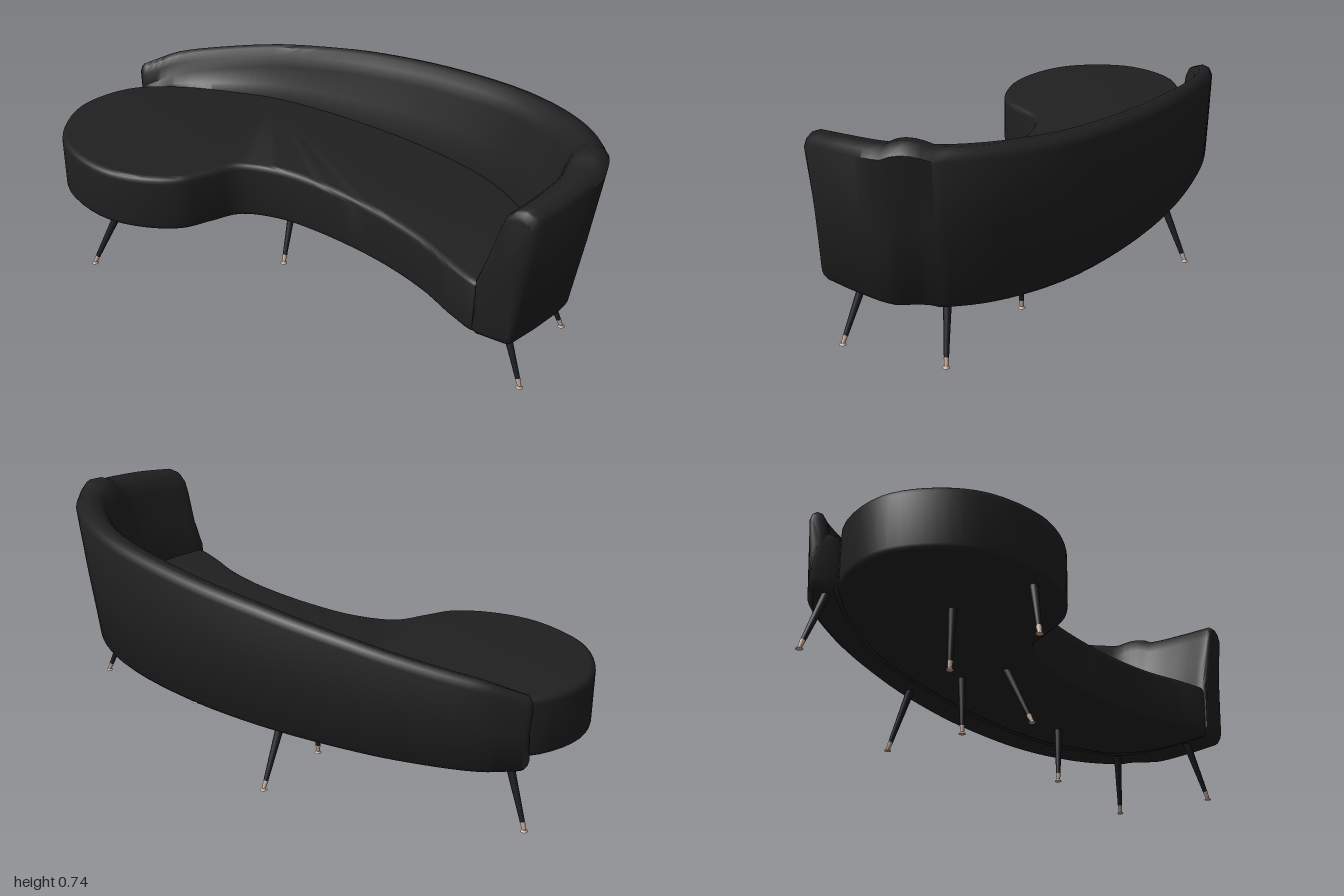
import * as THREE from 'three';
import { toCreasedNormals } from 'three/addons/utils/BufferGeometryUtils.js';

const fabric = new THREE.MeshStandardMaterial({ color: 0x202020 });
fabric.name = 'black fabric';
const legPaint = new THREE.MeshStandardMaterial({ color: 0x1b1c1f });
legPaint.name = 'black leg';
const metal = new THREE.MeshStandardMaterial({ color: 0xc4ab9c });
metal.name = 'pale metal';

function addMesh(parent, name, geometry, material) {
  const mesh = new THREE.Mesh(geometry, material);
  mesh.name = name;
  parent.add(mesh);
  return mesh;
}

// Kidney shaped cushion with rounded edges
function seatGeometry() {
  const outline = [
    [-1, 0.1], [-0.965, 0.25], [-0.86, 0.38], [-0.66, 0.45], [-0.5, 0.43], [-0.37, 0.36],
    [-0.31, 0.27], [-0.25, 0.18], [-0.12, 0.135], [0.05, 0.135], [0.3, 0.175], [0.5, 0.24],
    [0.65, 0.315], [0.75, 0.345], [0.79, 0.23], [0.8, 0.06], [0.76, -0.05], [0.68, -0.12],
    [0.49, -0.23], [0.2, -0.297], [-0.08, -0.317], [-0.4, -0.307], [-0.58, -0.262],
    [-0.77, -0.192], [-0.93, -0.08],
  ].map(([x, z]) => new THREE.Vector3(x, -z, 0));
  const curve = new THREE.CatmullRomCurve3(outline, true);
  const points = curve.getPoints(110).slice(0, -1).map((p) => new THREE.Vector2(p.x, p.y));
  const bevel = 0.022;
  let geo = new THREE.ExtrudeGeometry(new THREE.Shape(points), {
    depth: 0.21 - 2 * bevel, bevelEnabled: true, bevelSize: bevel,
    bevelThickness: bevel, bevelOffset: -bevel, bevelSegments: 4,
  });
  geo.rotateX(-Math.PI / 2);
  geo.translate(0, 0.2 + bevel, 0);
  // The top falls slightly towards the arm
  const pos = geo.attributes.position;
  for (let i = 0; i < pos.count; i++) {
    if (pos.getY(i) > 0.3) {
      pos.setY(i, pos.getY(i) - 0.018 * THREE.MathUtils.smoothstep(pos.getX(i), -0.3, 0.8));
    }
  }
  return toCreasedNormals(geo, 0.7);
}

// Curved backrest and arm: one upholstered section swept around the seat
function backrestGeometry() {
  // outer x, outer z, inner x, inner z, height, outward lean
  const stations = [
    [-0.945, -0.2, -0.875, -0.13, 0.465, 0.01],
    [-0.84, -0.28, -0.77, -0.18, 0.51, 0.01],
    [-0.62, -0.365, -0.58, -0.25, 0.555, 0.015],
    [-0.43, -0.41, -0.4, -0.295, 0.59, 0.02],
    [-0.1, -0.447, -0.08, -0.305, 0.635, 0.025],
    [0.23, -0.437, 0.2, -0.285, 0.665, 0.03],
    [0.58, -0.365, 0.49, -0.22, 0.692, 0.04],
    [0.82, -0.24, 0.68, -0.11, 0.71, 0.055],
    [0.95, -0.1, 0.77, -0.02, 0.72, 0.07],
    [1.0, 0.04, 0.785, 0.09, 0.72, 0.07],
    [0.975, 0.2, 0.77, 0.22, 0.71, 0.065],
    [0.93, 0.335, 0.74, 0.335, 0.695, 0.055],
  ];
  const curveOf = (f) => new THREE.CatmullRomCurve3(stations.map((s) => new THREE.Vector3(...f(s))));
  const outer = curveOf((s) => [s[0], 0, s[1]]);
  const inner = curveOf((s) => [s[2], 0, s[3]]);
  const sizes = curveOf((s) => [s[4], s[5], 0]);

  function section(t) {
    const o = outer.getPoint(t);
    const across = inner.getPoint(t).sub(o);
    const w = across.length();
    across.normalize();
    const { x: H, y: lean } = sizes.getPoint(t);
    const mid = (H + 0.2) / 2;
    return [
      [lean + 0.015, 0.2], [lean, 0.215], [lean * 0.45, mid], [0, H - 0.03],
      [0.07 * w, H - 0.01], [0.22 * w, H], [0.4 * w, H - 0.005], [0.54 * w, H - 0.03],
      [0.62 * w, H - 0.07], [0.82 * w, (H - 0.07 + 0.4) / 2 - 0.01],
      [w, Math.min(0.4, H - 0.09)], [w, 0.215], [w - 0.012, 0.2],
    ].map(([d, y]) => o.clone().addScaledVector(across, d).setY(y));
  }
  const centreOf = (ring) =>
    ring.reduce((sum, p) => sum.add(p), new THREE.Vector3()).divideScalar(ring.length);

  // Softly rounded end: the section is inset while it moves outwards
  function endRings(t, sign) {
    const ring = section(t);
    const centre = centreOf(ring);
    const out = outer.getTangent(t).add(inner.getTangent(t)).normalize().multiplyScalar(sign);
    return [[0.004, 0.01], [0.014, 0.019], [0.03, 0.024]].map(([inset, push]) =>
      ring.map((p) => {
        const toCentre = centre.clone().sub(p).setLength(inset);
        return p.clone().add(toCentre).addScaledVector(out, push);
      }));
  }

  const rings = endRings(0, -1).reverse();
  const steps = 55;
  for (let i = 0; i <= steps; i++) rings.push(section(i / steps));
  rings.push(...endRings(1, 1));

  const m = rings[0].length;
  const last = rings.length - 1;
  const verts = rings.flat();
  const startCentre = verts.push(centreOf(rings[0])) - 1;
  const endCentre = verts.push(centreOf(rings[last])) - 1;
  const index = [];
  for (let j = 0; j < m; j++) {
    const k = (j + 1) % m;
    for (let i = 0; i < last; i++) {
      const a = i * m + j, b = i * m + k, c = a + m, d = b + m;
      index.push(a, b, c, b, d, c);
    }
    index.push(startCentre, k, j, endCentre, last * m + j, last * m + k);
  }
  const geo = new THREE.BufferGeometry().setFromPoints(verts);
  geo.setIndex(index);
  return toCreasedNormals(geo, 0.75);
}

// Splayed tapered leg with a metal tip and a level foot pad
function makeLeg(name, [footX, footZ, topX, topZ]) {
  const leg = new THREE.Group();
  leg.name = name;
  const foot = new THREE.Vector3(footX, 0.004, footZ);
  const top = new THREE.Vector3(topX, 0.215, topZ);
  const joint = foot.clone().lerp(top, 0.12);
  const rod = (part, a, b, rA, rB, material) => {
    const axis = b.clone().sub(a);
    const mesh = addMesh(leg, part, new THREE.CylinderGeometry(rB, rA, axis.length(), 16), material);
    mesh.position.copy(a).add(b).multiplyScalar(0.5);
    mesh.quaternion.setFromUnitVectors(new THREE.Vector3(0, 1, 0), axis.normalize());
  };
  rod('legShaft', joint, top, 0.008, 0.0145, legPaint);
  rod('legTip', foot, joint, 0.006, 0.0085, metal);
  const pad = addMesh(leg, 'footPad', new THREE.CylinderGeometry(0.007, 0.012, 0.007, 16), metal);
  pad.position.set(footX, 0.0035, footZ);
  return leg;
}

export function createModel() {
  const sofa = new THREE.Group();
  sofa.name = 'curvedSofa';
  addMesh(sofa, 'seat', seatGeometry(), fabric);
  addMesh(sofa, 'backrest', backrestGeometry(), fabric);

  // foot x, foot z, top x, top z
  const legs = [
    [-0.96, -0.19, -0.88, -0.165],
    [-0.7, 0.455, -0.62, 0.39],
    [-0.615, 0.1, -0.615, 0.105],
    [-0.15, -0.455, -0.155, -0.36],
    [-0.155, -0.15, -0.155, -0.155],
    [-0.125, 0.1, -0.14, 0.005],
    [0.42, -0.105, 0.425, -0.105],
    [0.87, -0.08, 0.79, -0.045],
    [0.885, 0.28, 0.795, 0.24],
  ];
  legs.forEach((l, i) => sofa.add(makeLeg(`leg${i + 1}`, l)));
  return sofa;
}
